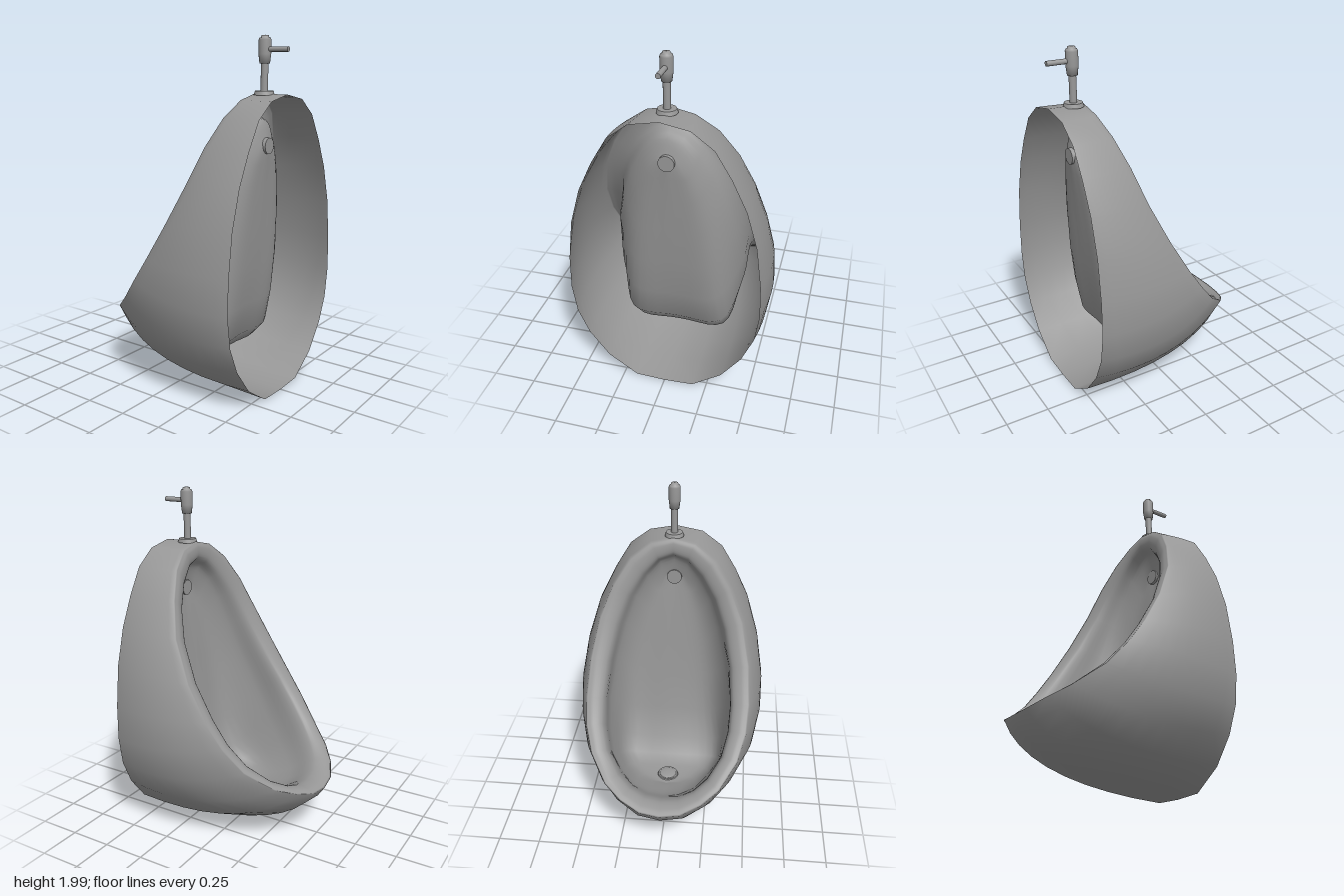
import * as THREE from 'three';
import { mergeVertices } from 'three/addons/utils/BufferGeometryUtils.js';

const V = (p) => new THREE.Vector3(...p);
const mat = new THREE.MeshStandardMaterial({ color: 0x989898, side: THREE.DoubleSide });

// Half loops [x, y, z], from the top centre down the +z side to the bottom centre
const wallEdge = [
  [.54, 1.69, 0], [.54, 1.66, .16], [.54, 1.57, .28], [.54, 1.42, .37], [.54, 1.25, .45],
  [.54, 1.04, .51], [.54, .8, .54], [.54, .6, .545], [.54, .43, .52], [.54, .28, .455],
  [.54, .13, .34], [.54, .015, .17], [.54, .008, 0]];
const bulge = [
  [.44, 1.69, 0], [.44, 1.66, .15], [.42, 1.57, .285], [.4, 1.42, .385], [.36, 1.25, .48],
  [.3, 1.03, .56], [.25, .8, .615], [.2, .6, .625], [.1, .4, .595], [0, .22, .505],
  [-.2, .1, .37], [-.36, .04, .18], [-.4, .03, 0]];
const rimOuter = [
  [.335, 1.69, 0], [.33, 1.66, .13], [.3, 1.57, .25], [.25, 1.42, .35], [.19, 1.23, .43],
  [.08, 1, .48], [-.04, .8, .495], [-.14, .66, .485], [-.25, .53, .44], [-.39, .42, .34],
  [-.47, .37, .24], [-.525, .33, .12], [-.54, .32, 0]];
const rimInner = [
  [.325, 1.6, 0], [.32, 1.57, .09], [.3, 1.48, .18], [.26, 1.35, .265], [.2, 1.18, .33],
  [.1, .97, .375], [-.02, .78, .39], [-.11, .65, .385], [-.21, .53, .35], [-.31, .43, .27],
  [-.37, .38, .19], [-.405, .35, .1], [-.415, .34, 0]];
const bowlSide = [
  [.385, 1.55, 0], [.38, 1.52, .08], [.36, 1.43, .155], [.335, 1.3, .225], [.3, 1.13, .285],
  [.24, .92, .34], [.14, .68, .375], [.05, .5, .37], [-.05, .37, .335], [-.14, .31, .265],
  [-.22, .28, .185], [-.26, .265, .095], [-.27, .26, 0]];
const bowlBack = [
  [.42, 1.44, 0], [.417, 1.41, .06], [.405, 1.32, .11], [.39, 1.18, .15], [.37, .98, .19],
  [.345, .74, .225], [.31, .5, .25], [.26, .3, .275], [.18, .21, .275], [.08, .187, .23],
  [-.02, .185, .16], [-.08, .19, .09], [-.1, .192, 0]];

// One strand runs from the wall edge over the rim and into the bowl
function strand(k) {
  const outer = new THREE.QuadraticBezierCurve3(V(wallEdge[k]), V(bulge[k]), V(rimOuter[k])).getPoints(9);
  const a = V(rimOuter[k]), b = V(rimInner[k]);
  const crest = a.clone().lerp(b, 0.45).add(new THREE.Vector3(-0.01, 0.012, 0));
  const back = V(bowlBack[k]);
  const spine = new THREE.Vector3(back.x + 0.012, Math.max(back.y - 0.01, 0.18), 0);
  const inner = new THREE.CatmullRomCurve3([a, crest, b, V(bowlSide[k]), back, spine]).getPoints(25);
  return outer.concat(inner.slice(1));
}

// Closed loft through the strands, mirrored across z = 0
function basinGeometry() {
  const last = wallEdge.length - 1;
  const strands = [];
  for (let k = 0; k <= last; k++) strands.push(strand(k));
  for (let k = last - 1; k > 0; k--) strands.push(strand(k).map((p) => new THREE.Vector3(p.x, p.y, -p.z)));
  const n = strands.length, m = strands[0].length, index = [];
  for (let k = 0; k < n; k++) {
    for (let j = 0; j < m - 1; j++) {
      const a = k * m + j, b = ((k + 1) % n) * m + j;
      index.push(a, a + 1, b, b, a + 1, b + 1);
    }
  }
  const g = new THREE.BufferGeometry().setFromPoints(strands.flat());
  g.setIndex(index);
  const merged = mergeVertices(g, 1e-5);
  merged.computeVertexNormals();
  return merged;
}

export function createModel() {
  const group = new THREE.Group();
  const add = (name, geometry, x = 0, y = 0, z = 0) => {
    const mesh = new THREE.Mesh(geometry, mat);
    mesh.name = name;
    mesh.position.set(x, y, z);
    group.add(mesh);
    return mesh;
  };
  const cyl = (r1, r2, h) => new THREE.CylinderGeometry(r1, r2, h, 24);

  add('basin', basinGeometry());

  // Drain in the bowl floor: ring and domed cap
  add('drainRing', cyl(0.062, 0.067, 0.012), 0.01, 0.182);
  const dome = new THREE.SphereGeometry(0.053, 24, 6, 0, Math.PI * 2, 0, Math.PI / 2);
  add('drainCap', dome.scale(1, 0.2, 1), 0.01, 0.187);

  // Water inlet through the upper back of the bowl
  add('waterInlet', cyl(0.045, 0.045, 0.03), 0.42, 1.41).rotation.z = Math.PI / 2;

  // Flush valve on top
  const tapX = 0.395;
  add('flange', cyl(0.05, 0.057, 0.022), tapX, 1.695);
  add('riserPipe', cyl(0.02, 0.02, 0.18), tapX, 1.78);
  const profile = [[0, 1.85], [0.028, 1.85], [0.034, 1.9], [0.034, 1.975], [0.03, 1.985],
    [0.022, 1.987], [0.02, 1.998], [0, 2]].map(([r, y]) => new THREE.Vector2(r, y));
  add('valveBody', new THREE.LatheGeometry(profile, 24), tapX);
  add('supplyPipe', cyl(0.014, 0.014, 0.145), tapX + 0.0725, 1.925).rotation.z = Math.PI / 2;

  return group;
}
